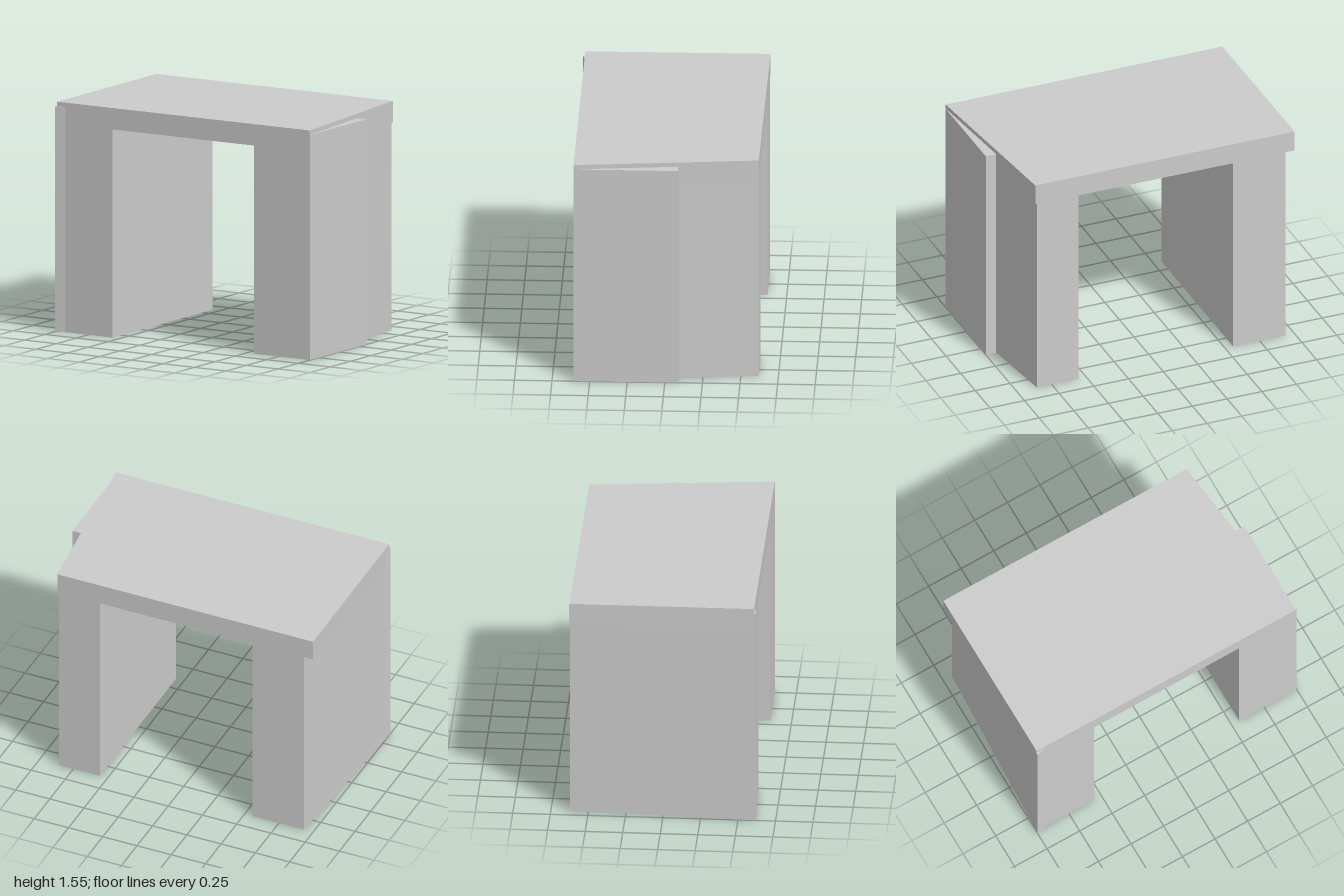
import * as THREE from 'three';

const material = new THREE.MeshStandardMaterial({ color: 0xcccccc, flatShading: true });

// Upright prism from a plan outline of [x, z] points, between two heights.
function prism(name, plan, bottom, top) {
  const shape = new THREE.Shape(plan.map(([x, z]) => new THREE.Vector2(x, -z)));
  const geometry = new THREE.ExtrudeGeometry(shape, { depth: top - bottom, bevelEnabled: false });
  geometry.rotateX(-Math.PI / 2);
  geometry.translate(0, bottom, 0);
  const mesh = new THREE.Mesh(geometry, material);
  mesh.name = name;
  return mesh;
}

export function createModel() {
  const group = new THREE.Group();
  group.name = 'stoneGateway';

  // Capping slab with a slanted left end
  group.add(prism('capSlab', [
    [-0.997, 0.607], [0.998, 0.607], [0.868, -0.62], [-1, -0.624],
  ], 1.405, 1.55));

  // Left pier: thicker front half, then a step and a tapering back half
  group.add(prism('leftPier', [
    [0.558, 0.607], [1, 0.607], [1, -0.087], [0.925, -0.087], [0.856, -0.62], [0.558, -0.62],
  ], 0, 1.52));

  // Right pier: slanted outer face and a front corner that juts forward
  group.add(prism('rightPier', [
    [-0.558, 0.607], [-0.93, 0.607], [-1, 0.624], [-0.935, -0.622], [-0.558, -0.622],
  ], 0, 1.52));

  return group;
}
